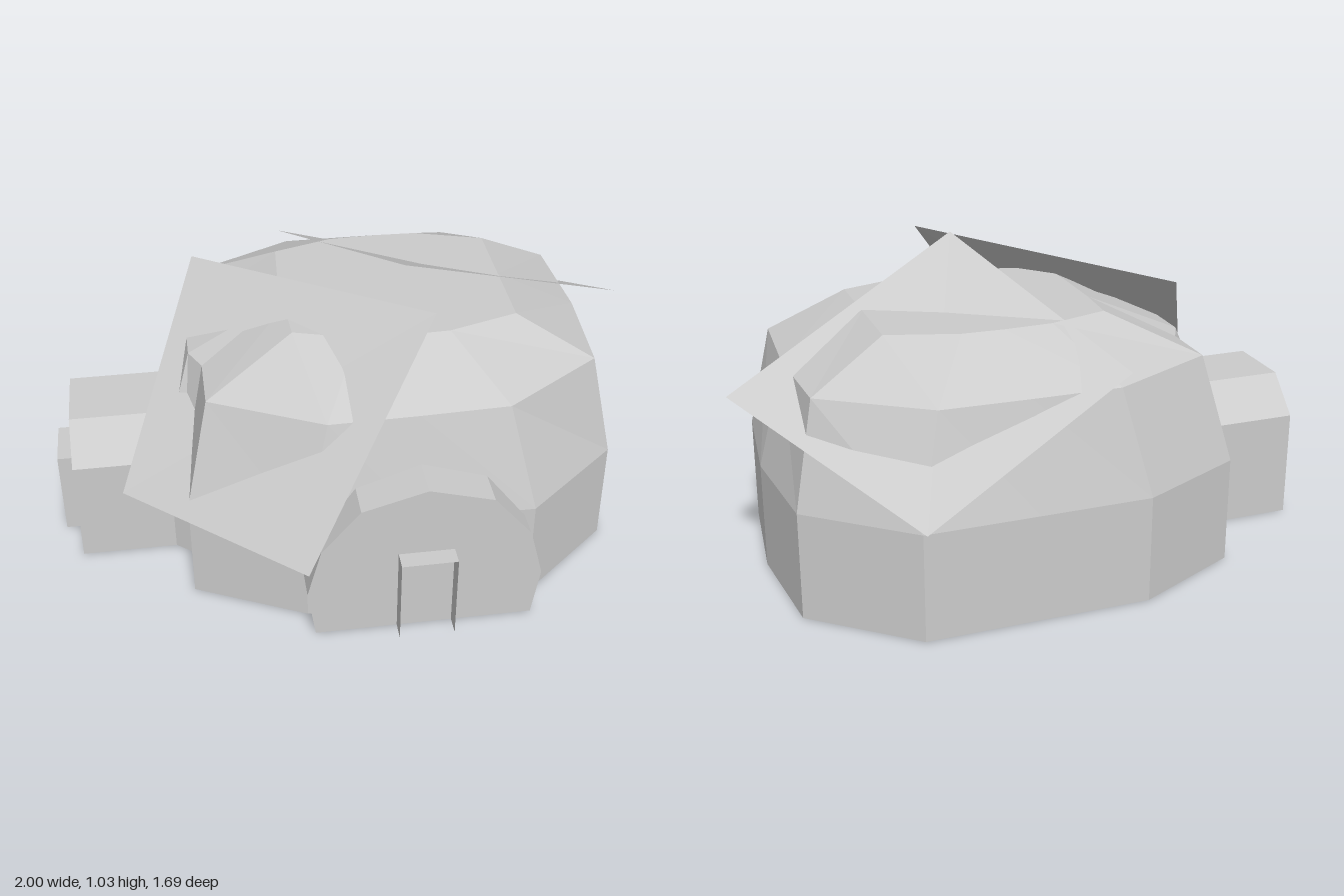
import * as THREE from 'three';

const DOME_Z = -0.05;

export function createModel() {
  const group = new THREE.Group();
  const solid = new THREE.MeshStandardMaterial({ color: 0xcccccc, flatShading: true });
  const thin = new THREE.MeshStandardMaterial({ color: 0xcccccc, flatShading: true, side: THREE.DoubleSide });

  const add = (name, geometry, material = solid) => {
    const mesh = new THREE.Mesh(geometry, material);
    mesh.name = name;
    group.add(mesh);
    return mesh;
  };

  const fromTriangles = (points) => {
    const g = new THREE.BufferGeometry();
    g.setAttribute('position', new THREE.Float32BufferAttribute(points.flat(), 3));
    g.computeVertexNormals();
    return g;
  };

  // Dome: half outlines [x, distance from the mid plane], mirrored into full rings
  const base = [[0.89, 0], [0.85, 0.385], [0.53, 0.65], [0.16, 0.65], [-0.21, 0.65], [-0.57, 0.48], [-0.57, 0.29], [-0.64, 0.235]];
  const shoulder = [[0.8, 0], [0.78, 0.34], [0.45, 0.56], [0.16, 0.57], [-0.13, 0.575], [-0.49, 0.4], [-0.49, 0.2], [-0.53, 0.12]];
  const crown = [[0.53, 0], [0.53, 0.25], [0.3, 0.32], [0.16, 0.325], [0, 0.32], [-0.2, 0.26], [-0.21, 0.1], [-0.21, 0.05]];
  const ring = (half, y) => [
    ...half.map(([x, d]) => [x, y, DOME_Z + d]),
    ...half.slice(1).reverse().map(([x, d]) => [x, y, DOME_Z - d]),
  ];
  const rings = [ring(base, 0), ring(base, 0.36), ring(shoulder, 0.71), ring(crown, 0.85)];
  const n = rings[0].length;
  const tris = [];
  for (let i = 0; i < n; i++) {
    const j = (i + 1) % n;
    for (let r = 0; r < rings.length - 1; r++) {
      const lo = rings[r], hi = rings[r + 1];
      tris.push(lo[i], hi[i], hi[j], lo[i], hi[j], lo[j]);
    }
    tris.push([0.16, 0.85, DOME_Z], rings[3][j], rings[3][i]);
    tris.push([0.16, 0, DOME_Z], rings[0][i], rings[0][j]);
  }
  add('dome', fromTriangles(tris));

  // Extruded profile, from z = 0 to z = depth
  const extrude = (points, depth) => new THREE.ExtrudeGeometry(
    new THREE.Shape(points.map(([x, y]) => new THREE.Vector2(x, y))),
    { depth, bevelEnabled: false },
  );

  // Front arch
  const archHalf = [[0.355, 0], [0.38, 0.17], [0.335, 0.34], [0.21, 0.49]];
  const arch = add('frontArch', extrude(
    [...archHalf, [0, 0.55], ...archHalf.slice().reverse().map(([x, y]) => [-x, y])], 0.49));
  arch.position.set(0.16, 0, 0.2);

  // Side tunnel
  const tunnel = add('sideTunnel', extrude(
    [[0.24, 0], [0.24, 0.37], [0.12, 0.49], [-0.12, 0.49], [-0.24, 0.37], [-0.24, 0]], 0.54));
  tunnel.rotation.y = -Math.PI / 2;
  tunnel.position.set(-0.4, 0, -0.04);

  // Open door surround: two jambs and a lintel without thickness
  const doorSurround = (name) => {
    const door = new THREE.Group();
    door.name = name;
    const w = 0.09, h = 0.305, d = 0.06;
    for (const s of [-1, 1]) {
      const jamb = new THREE.Mesh(new THREE.PlaneGeometry(d, h), thin);
      jamb.name = 'jamb';
      jamb.rotation.y = s * Math.PI / 2;
      jamb.position.set(s * w, h / 2, d / 2);
      door.add(jamb);
    }
    const lintel = new THREE.Mesh(new THREE.PlaneGeometry(2 * w, d), thin);
    lintel.name = 'lintel';
    lintel.rotation.x = -Math.PI / 2;
    lintel.position.set(0, h, d / 2);
    door.add(lintel);
    group.add(door);
    return door;
  };
  doorSurround('frontDoor').position.set(0.16, 0, 0.69);
  const sideDoor = doorSurround('sideDoor');
  sideDoor.rotation.y = -Math.PI / 2;
  sideDoor.position.set(-0.94, 0, -0.04);

  // Flat sheets leaning through the dome
  const sheet = (name, [a, b, c, d]) => add(name, fromTriangles([a, b, c, a, c, d]), thin);
  sheet('frontSheet', [[-0.78, 0.31, 0.27], [-0.23, 0.39, 0.84], [0.225, 0.995, 0.39], [-0.49, 0.895, -0.24]]);
  sheet('backSheet', [[0.17, 1.03, 0.15], [1, 0.665, -0.18], [0.56, 0.435, -0.85], [-0.16, 0.755, -0.63]]);

  return group;
}
